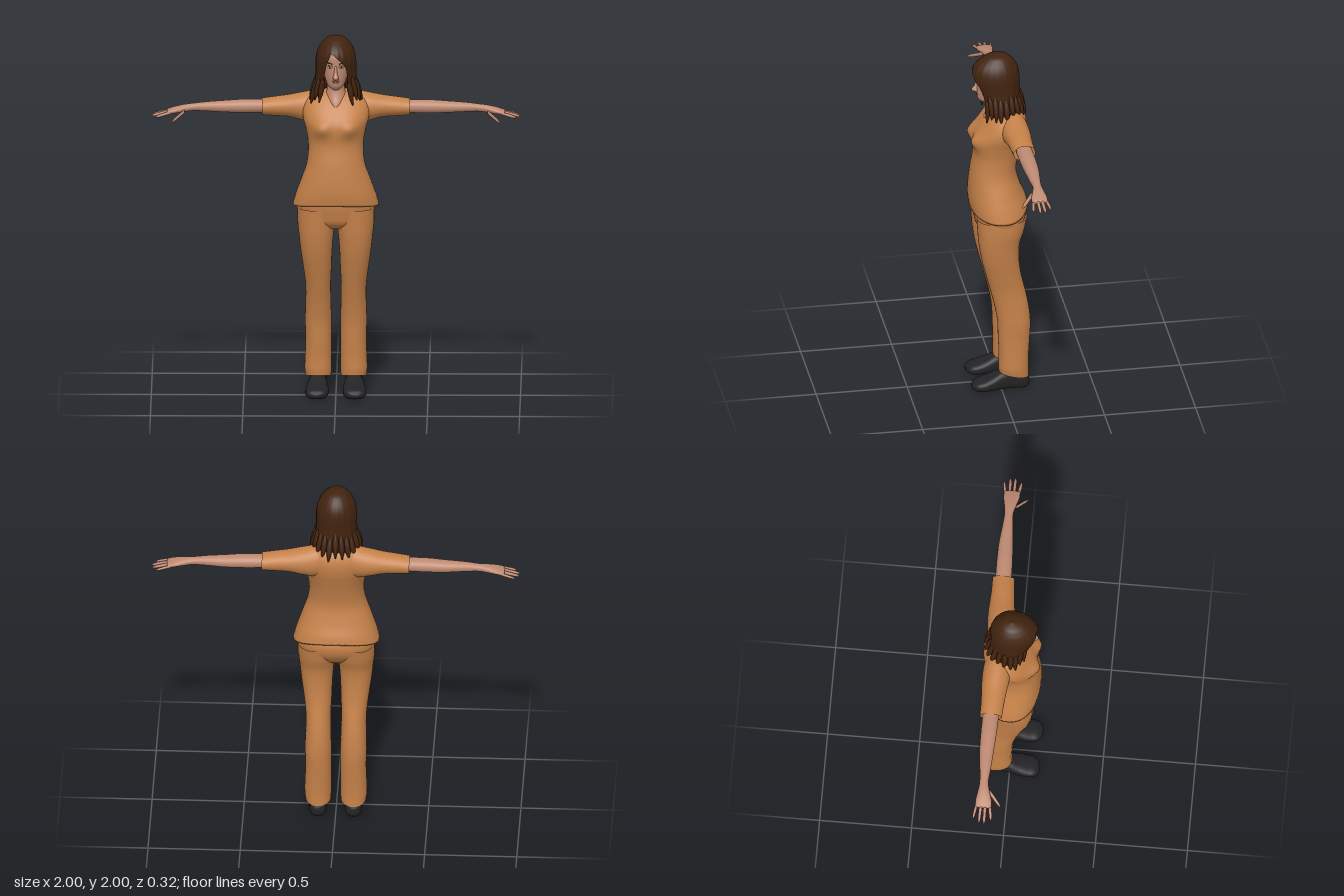
import * as THREE from 'three';

const mat = (name, color, side = THREE.FrontSide) => {
  const m = new THREE.MeshStandardMaterial({ color, side });
  m.name = name;
  return m;
};

function build(pos, idx) {
  const g = new THREE.BufferGeometry();
  g.setAttribute('position', new THREE.Float32BufferAttribute(pos, 3));
  g.setIndex(idx);
  g.computeVertexNormals();
  return g;
}

// Smooth interpolation of rows [t, a, b, ...] with t increasing
function sampler(rows) {
  const n = rows[0].length;
  const f = new THREE.CubicInterpolant(rows.map(r => r[0]), rows.flat(), n, new Float32Array(n));
  return t => Array.from(f.evaluate(t));
}

// Lofted rounded body. Rows are [t, uMin, uMax, vMin, vMax] along the axis:
// x -> u,v = y,z   y -> u,v = z,x   z -> u,v = x,y
function loft(axis, rows, { seg = 32, sub = 5, power = 2, caps = true, warp } = {}) {
  const at = sampler(rows), ts = [], pos = [], idx = [];
  rows.forEach((r, i) => {
    if (i) for (let k = 1; k <= sub; k++) ts.push(THREE.MathUtils.lerp(rows[i - 1][0], r[0], k / sub));
    else ts.push(r[0]);
  });
  const put = (t, u, v) => {
    const p = axis === 'x' ? new THREE.Vector3(t, u, v) : axis === 'y' ? new THREE.Vector3(v, t, u) : new THREE.Vector3(u, v, t);
    if (warp) warp(p);
    pos.push(p.x, p.y, p.z);
  };
  const round = c => Math.sign(c) * Math.abs(c) ** (2 / power);
  for (const t of ts) {
    const [, a, b, c, d] = at(t);
    for (let j = 0; j < seg; j++) {
      const q = j / seg * Math.PI * 2;
      put(t, (a + b) / 2 + (b - a) / 2 * round(Math.cos(q)), (c + d) / 2 + (d - c) / 2 * round(Math.sin(q)));
    }
  }
  for (let i = 0; i < ts.length - 1; i++) for (let j = 0; j < seg; j++) {
    const k = (j + 1) % seg, a = i * seg + j, b = i * seg + k;
    idx.push(a, b, b + seg, a, b + seg, a + seg);
  }
  if (caps) {
    const last = (ts.length - 1) * seg;
    for (const [row, base] of [[rows[0], 0], [rows[rows.length - 1], last]]) {
      const centre = pos.length / 3;
      put(row[0], (row[1] + row[2]) / 2, (row[3] + row[4]) / 2);
      for (let j = 0; j < seg; j++) {
        const a = base + j, b = base + (j + 1) % seg;
        base ? idx.push(a, b, centre) : idx.push(b, a, centre);
      }
    }
  }
  return build(pos, idx);
}

// Copy of a geometry on the other side of x = 0
function mirror(g) {
  const p = Array.from(g.attributes.position.array, (v, i) => i % 3 ? v : -v);
  const q = Array.from(g.index.array);
  for (let i = 0; i < q.length; i += 3) [q[i], q[i + 1]] = [q[i + 1], q[i]];
  return build(p, q);
}

export function createModel() {
  const root = new THREE.Group();
  root.name = 'woman';
  const cloth = mat('tan cloth', 0xc58149, THREE.DoubleSide);
  const skin = mat('skin', 0xbf8a72);
  const hair = mat('brown hair', 0x42230f, THREE.DoubleSide);
  const black = mat('black leather', 0x232325);
  const white = mat('eye white', 0xd8d0c8);
  const dark = mat('dark brown', 0x2a1a12);
  const lip = mat('lips', 0xa0625a);
  const add = (name, g, m) => {
    const o = new THREE.Mesh(g, m);
    o.name = name;
    root.add(o);
    return o;
  };
  const pair = (name, g, m) => { add('left ' + name, g, m); add('right ' + name, mirror(g), m); };

  // Shirt: flared hem, waist, bust and shoulders
  add('shirt', loft('y', [
    [1.06, -.155, .158, -.235, .235], [1.12, -.145, .164, -.218, .218], [1.2, -.12, .163, -.19, .19],
    [1.3, -.095, .153, -.157, .157], [1.4, -.108, .137, -.15, .15], [1.48, -.13, .137, -.162, .162],
    [1.54, -.146, .125, -.178, .178], [1.6, -.15, .09, -.178, .178], [1.65, -.135, .048, -.15, .15],
    [1.675, -.115, .02, -.105, .105], [1.685, -.1, 0, -.06, .06]], {
    seg: 48, power: 2.25, warp: p => {
      const k = Math.max(0, 1 - (p.y - 1.06) / .14);
      if (p.z > 0) p.z += .034 * Math.exp(-(((Math.abs(p.x) - .075) / .05) ** 2) - ((p.y - 1.505) / .045) ** 2);
      p.y += k * (p.z > 0 ? .8 : 1.7) * p.z * p.z;
    }
  }), cloth);
  pair('sleeve', loft('x', [
    [.02, 1.53, 1.66, -.12, -.01], [.1, 1.5, 1.678, -.14, .005], [.18, 1.51, 1.665, -.145, .005],
    [.25, 1.528, 1.65, -.142, -.005], [.32, 1.533, 1.64, -.138, -.012], [.4, 1.538, 1.628, -.138, -.018]],
  { caps: false }), cloth);

  // Trousers: hips plus two legs
  add('trouser hips', loft('y', [
    [.94, -.075, .09, -.1, .1], [.97, -.105, .12, -.185, .185], [1.02, -.138, .134, -.207, .207],
    [1.08, -.145, .142, -.212, .212], [1.14, -.12, .14, -.19, .19]], { seg: 40, power: 2.3 }), cloth);
  pair('trouser leg', loft('y', [
    [.07, -.15, .012, .026, .165], [.12, -.148, .014, .024, .17], [.2, -.15, .012, .024, .168],
    [.3, -.156, .016, .024, .165], [.4, -.16, .02, .024, .168], [.5, -.15, .036, .026, .165],
    [.6, -.13, .06, .028, .165], [.7, -.107, .086, .024, .176], [.8, -.096, .11, .02, .19],
    [.9, -.1, .125, .012, .201], [.97, -.122, .13, .002, .208], [1.05, -.14, .135, 0, .208]], {
    power: 2.3, caps: false, warp: p => {
      const k = Math.max(0, 1 - (p.y - .07) / .1);
      p.y += k * .035 * (p.z + .15) / .16;
    }
  }), cloth);

  // Shoes
  pair('shoe', loft('z', [
    [-.152, .08, .115, .015, .055], [-.135, .058, .135, 0, .085], [-.06, .052, .142, 0, .11],
    [0, .046, .15, 0, .108], [.05, .04, .16, 0, .085], [.1, .04, .165, 0, .066],
    [.145, .055, .153, .006, .052], [.163, .085, .128, .018, .036]], { power: 2.6 }), black);

  // Arms and hands
  pair('arm', loft('x', [
    [.36, 1.552, 1.62, -.122, -.035], [.5, 1.548, 1.62, -.124, -.038], [.6, 1.55, 1.613, -.122, -.045],
    [.7, 1.555, 1.606, -.112, -.052], [.78, 1.557, 1.597, -.106, -.058], [.83, 1.55, 1.59, -.112, -.046],
    [.88, 1.545, 1.577, -.12, -.032], [.915, 1.543, 1.565, -.118, -.032]], { power: 2.2, seg: 24 }), skin);
  const fingers = [['little finger', .89, 1.556, -.11, .975, 1.537, -.125, .008],
    ['ring finger', .9, 1.556, -.088, .997, 1.533, -.092, .009],
    ['middle finger', .9, 1.557, -.065, 1, 1.533, -.064, .009],
    ['index finger', .89, 1.557, -.042, .978, 1.533, -.028, .009],
    ['thumb', .82, 1.56, -.05, .89, 1.515, .016, .011]];
  for (const [name, x0, y0, z0, x1, y1, z1, r] of fingers) {
    const rows = [[0, 1], [.5, 1], [.85, .8], [1, .3]].map(([t, s]) => {
      const y = THREE.MathUtils.lerp(y0, y1, t), z = THREE.MathUtils.lerp(z0, z1, t);
      return [THREE.MathUtils.lerp(x0, x1, t), y - r * s, y + r * s, z - r * s, z + r * s];
    });
    pair(name, loft('x', rows, { seg: 10, sub: 3 }), skin);
  }

  // Neck and head
  add('neck', loft('y', [
    [1.6, -.08, .083, -.025, .025], [1.63, -.085, .077, -.042, .042], [1.66, -.085, .058, -.055, .055],
    [1.7, -.075, .045, -.048, .048], [1.77, -.07, .05, -.048, .048]]), skin);
  add('head', loft('y', [
    [1.712, .04, .092, -.018, .018], [1.73, 0, .11, -.04, .04], [1.76, -.05, .118, -.056, .056],
    [1.8, -.07, .12, -.066, .066], [1.85, -.085, .119, -.073, .073], [1.9, -.085, .118, -.072, .072],
    [1.945, -.06, .09, -.05, .05]]), skin);
  add('nose', loft('y', [
    [1.774, .1, .126, -.01, .01], [1.785, .1, .146, -.016, .016], [1.81, .1, .133, -.01, .01],
    [1.85, .1, .121, -.007, .007]], { seg: 16 }), skin);

  // Face details
  const patch = (name, m, x, y, z, w, h, d, turn = 0, tilt = 0) => {
    const o = add(name, new THREE.SphereGeometry(1, 16, 10), m);
    o.scale.set(w, h, d);
    o.position.set(x, y, z);
    o.rotation.set(0, turn, tilt);
  };
  for (const s of [1, -1]) {
    const side = s > 0 ? 'left ' : 'right ';
    patch(side + 'eye', white, s * .031, 1.845, .11, .014, .006, .004, s * .4);
    patch(side + 'iris', dark, s * .031, 1.845, .1125, .0055, .0055, .003, s * .4);
    patch(side + 'eyelid', dark, s * .031, 1.851, .1105, .016, .002, .004, s * .4);
    patch(side + 'eyebrow', dark, s * .033, 1.866, .109, .018, .003, .004, s * .4, s * .12);
  }
  patch('upper lip', lip, 0, 1.768, .117, .021, .004, .0045);
  patch('lower lip', lip, 0, 1.761, .1165, .017, .005, .0045);

  // Hair shell: its lower edge sweeps over the brow and falls to the shoulders
  const profile = sampler([[1.6, .14, .1, .14], [1.65, .13, .092, .137], [1.7, .123, .09, .128],
    [1.75, .114, .103, .12], [1.8, .11, .124, .116], [1.88, .108, .146, .114], [1.93, .094, .132, .1],
    [1.97, .066, .09, .07], [1.99, .039, .05, .04], [2, 0, 0, 0]]);
  const edge = [[-180, 1.67], [-60, 1.66], [-37, 1.66], [-33, 1.8], [-27, 1.86], [-14, 1.925], [0, 1.905],
    [18, 1.875], [30, 1.84], [35, 1.8], [38, 1.66], [60, 1.66], [180, 1.67]];
  const edgeAt = deg => {
    const i = Math.max(1, edge.findIndex(e => e[0] >= deg));
    const [a, ya] = edge[i - 1], [b, yb] = edge[i];
    return ya + (yb - ya) * (deg - a) / (b - a);
  };
  const onHair = (q, y, s = 1) => {
    const [, rx, zf, zb] = profile(y);
    return [Math.sin(q) * rx * s, y, Math.cos(q) * (Math.cos(q) > 0 ? zf : zb) * s];
  };
  const cols = 120, rows = 30, pos = [], idx = [];
  for (let i = 0; i <= rows; i++) for (let j = 0; j < cols; j++) {
    const q = (j / cols * 2 - 1) * Math.PI, deg = q * 180 / Math.PI, v = i / rows;
    const jag = Math.abs(deg) > 40 ? .025 * Math.abs(Math.sin(q * 9)) : 0;
    const y = 2 - (2 - edgeAt(deg) - jag * .4) * v * v;
    pos.push(...onHair(q, y, 1 + (.008 + .03 * (2 - y)) * v * Math.sin(q * 18)));
    if (i < rows) {
      const k = (j + 1) % cols, a = i * cols + j, b = i * cols + k;
      idx.push(a, a + cols, b + cols, a, b + cols, b);
    }
  }
  add('hair', build(pos, idx), hair);

  // Loose pointed locks around the lower edge
  for (let k = 0; k < 19; k++) {
    const q = THREE.MathUtils.degToRad(40 + k * 280 / 18), low = 1.625 + .025 * (k * 7 % 4) / 3;
    const lock = [[0, .003, 1.06], [.3, .013, 1.03], [.7, .015, .98], [1, .006, .93]].map(([t, r, s]) => {
      const [x, y, z] = onHair(q, low + t * .14, s);
      return [y, z - r, z + r, x - r, x + r];
    });
    add('hair lock', loft('y', lock, { seg: 8, sub: 3 }), hair);
  }
  return root;
}
